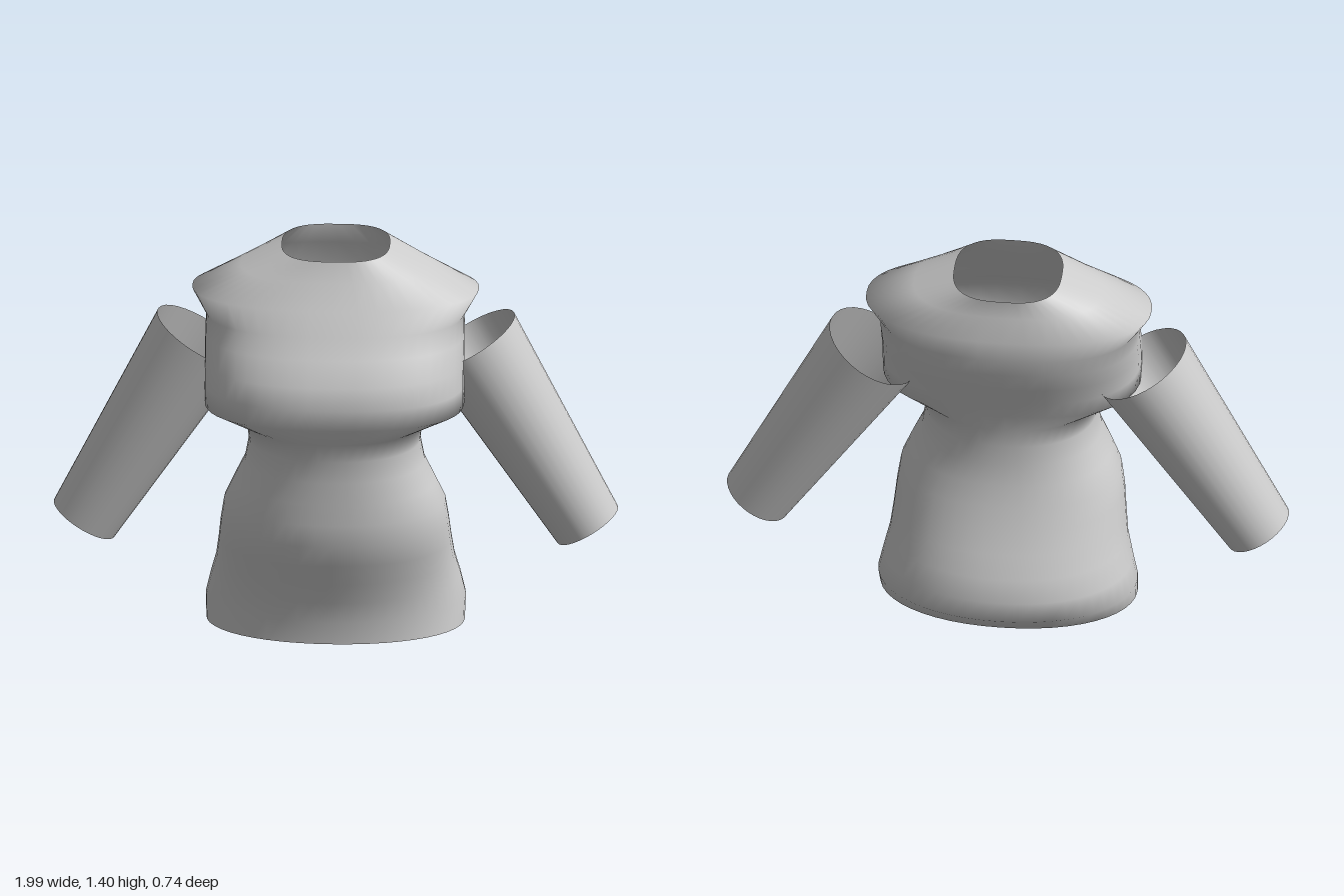
import * as THREE from 'three';

// Torso cross-sections: height, half width, front z, back z, squareness
const RINGS = [
  [0, 0.455, 0.225, -0.30, 2.1],
  [0.08, 0.458, 0.225, -0.37, 2.1],
  [0.16, 0.44, 0.24, -0.37, 2.1],
  [0.24, 0.42, 0.265, -0.34, 2.1],
  [0.32, 0.41, 0.287, -0.30, 2.2],
  [0.40, 0.402, 0.31, -0.265, 2.2],
  [0.48, 0.39, 0.308, -0.235, 2.2],
  [0.56, 0.355, 0.305, -0.21, 2.2],
  [0.64, 0.317, 0.302, -0.195, 2.2],
  [0.72, 0.302, 0.302, -0.19, 2.2],
  [0.79, 0.31, 0.318, -0.19, 2.2],
  [0.865, 0.457, 0.37, -0.205, 2.4],
  [0.94, 0.457, 0.37, -0.225, 2.4],
  [1.02, 0.457, 0.355, -0.253, 2.4],
  [1.10, 0.457, 0.292, -0.275, 2.4],
  [1.17, 0.455, 0.25, -0.283, 2.4],
  [1.25, 0.505, 0.20, -0.285, 2.3],
  [1.335, 0.335, 0.143, -0.25, 2.5],
  [1.405, 0.19, 0.113, -0.247, 2.8],
];

// Open shell through the rings, with shared vertices for smooth shading
function torsoGeometry(segments) {
  const positions = [];
  const index = [];
  const bend = (v, n) => Math.sign(v) * Math.pow(Math.abs(v), 2 / n);
  RINGS.forEach(([y, w, front, back, n], r) => {
    const mid = (front + back) / 2;
    const depth = (front - back) / 2;
    for (let i = 0; i < segments; i++) {
      const t = (i / segments) * Math.PI * 2;
      positions.push(w * bend(Math.cos(t), n), y, mid + depth * bend(Math.sin(t), n));
      if (r === RINGS.length - 1) continue;
      const a = r * segments + i;
      const b = r * segments + ((i + 1) % segments);
      index.push(a, a + segments, b, b, a + segments, b + segments);
    }
  });
  const geometry = new THREE.BufferGeometry();
  geometry.setAttribute('position', new THREE.Float32BufferAttribute(positions, 3));
  geometry.setIndex(index);
  geometry.computeVertexNormals();
  return geometry;
}

export function createModel() {
  const group = new THREE.Group();
  group.name = 'shirt';
  const fabric = new THREE.MeshStandardMaterial({ color: 0xcccccc, side: THREE.DoubleSide });
  fabric.name = 'light grey fabric';

  const torso = new THREE.Mesh(torsoGeometry(48), fabric);
  torso.name = 'torso';
  group.add(torso);

  // Tapered open sleeves, slanting out from the sides
  for (const side of [1, -1]) {
    const top = new THREE.Vector3(0.475 * side, 1.042, -0.078);
    const cuff = new THREE.Vector3(0.886 * side, 0.347, -0.075);
    const axis = top.clone().sub(cuff);
    const sleeve = new THREE.Mesh(
      new THREE.CylinderGeometry(0.179, 0.125, axis.length(), 32, 1, true), fabric);
    sleeve.name = side > 0 ? 'leftSleeve' : 'rightSleeve';
    sleeve.position.copy(top).add(cuff).multiplyScalar(0.5);
    sleeve.quaternion.setFromUnitVectors(new THREE.Vector3(0, 1, 0), axis.normalize());
    group.add(sleeve);
  }
  return group;
}
